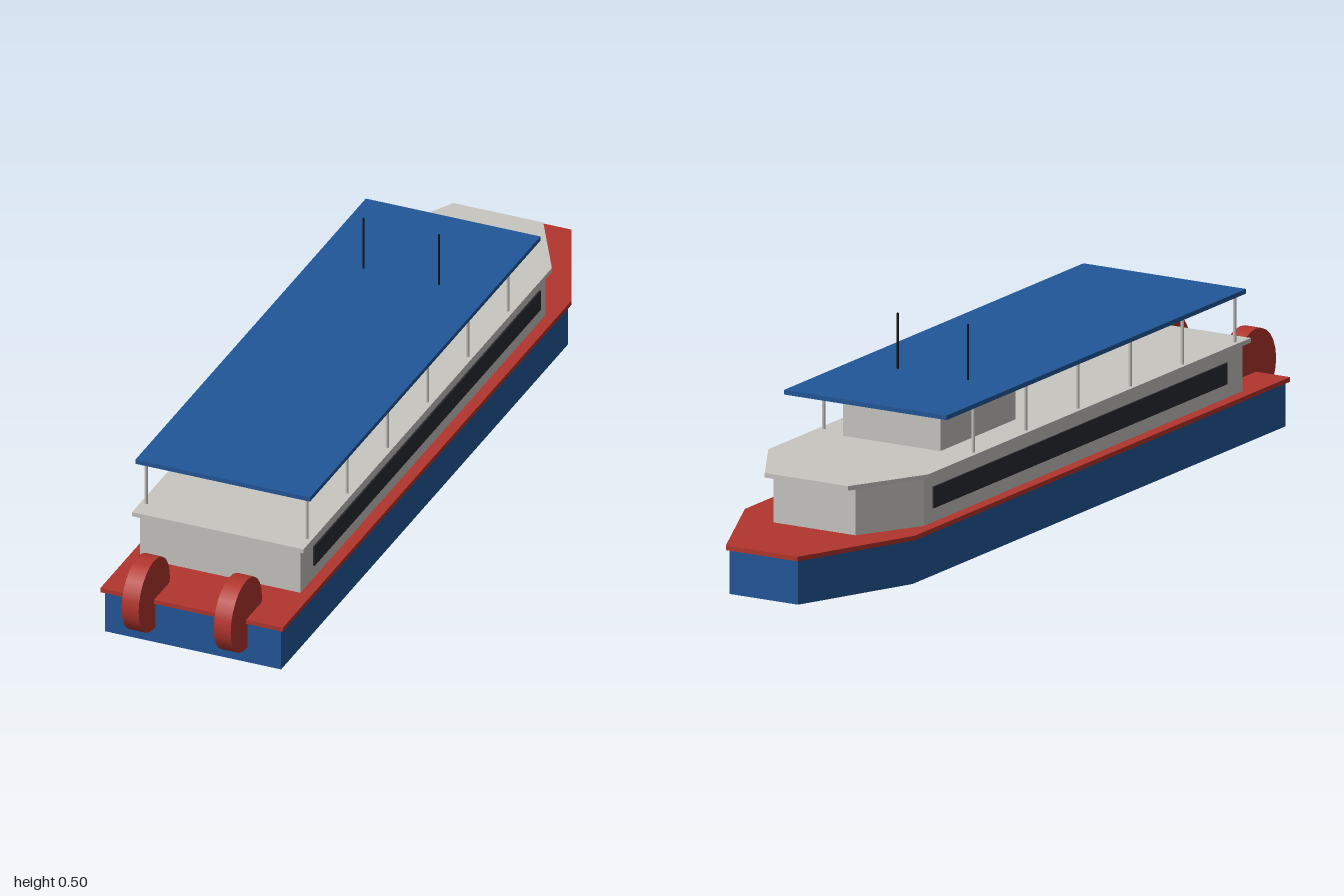
import * as THREE from 'three';

export function createModel() {
  const mat = (name, color) => {
    const m = new THREE.MeshStandardMaterial({ color });
    m.name = name;
    return m;
  };
  const blue = mat('blue', 0x22579a);
  const red = mat('red', 0xb3362d);
  const grey = mat('warm grey', 0xc8c6c1);
  const glass = mat('dark glass', 0x2a2b32);
  const black = mat('black', 0x15161a);

  // The boat is built along x (bow at +x), then turned to its heading.
  const boat = new THREE.Group();
  boat.name = 'boat';
  boat.rotation.y = THREE.MathUtils.degToRad(21);
  boat.position.set(-0.013, 0, -0.034);

  const add = (name, geometry, material, x = 0, y = 0, z = 0) => {
    const mesh = new THREE.Mesh(geometry, material);
    mesh.name = name;
    mesh.position.set(x, y, z);
    boat.add(mesh);
    return mesh;
  };

  // Prism with a square stern and a tapered bow.
  const prism = (name, material, stern, shoulder, tip, half, tipHalf, y0, y1) => {
    const shape = new THREE.Shape([
      [stern, -half], [shoulder, -half], [tip, -tipHalf],
      [tip, tipHalf], [shoulder, half], [stern, half],
    ].map(([x, y]) => new THREE.Vector2(x, y)));
    const g = new THREE.ExtrudeGeometry(shape, { depth: y1 - y0, bevelEnabled: false });
    g.rotateX(-Math.PI / 2);
    return add(name, g, material, 0, y0, 0);
  };

  // Box given by its x and y ranges and full width.
  const slab = (name, material, x0, x1, y0, y1, width, z = 0) =>
    add(name, new THREE.BoxGeometry(x1 - x0, y1 - y0, width), material,
      (x0 + x1) / 2, (y0 + y1) / 2, z);

  // Hull and main deck
  prism('hull', blue, -0.91, 0.741, 1.037, 0.222, 0.093, 0, 0.106);
  prism('deck', red, -0.918, 0.744, 1.046, 0.23, 0.097, 0.106, 0.117);

  // Cabin with overhanging roof
  prism('cabin', grey, -0.753, 0.658, 0.812, 0.202, 0.111, 0.117, 0.232);
  prism('cabinRoof', grey, -0.767, 0.662, 0.848, 0.216, 0.113, 0.232, 0.243);

  // Wheelhouse
  slab('wheelhouse', grey, 0.137, 0.47, 0.243, 0.337, 0.263);
  slab('wheelhouseRoof', blue, 0.116, 0.492, 0.337, 0.347, 0.289);

  // Sun canopy
  slab('canopy', blue, -0.739, 0.587, 0.356, 0.367, 0.44);

  const postGeo = new THREE.CylinderGeometry(0.004, 0.004, 0.113, 8);
  const mastGeo = new THREE.CylinderGeometry(0.0025, 0.0025, 0.153, 8);
  const wheelGeo = new THREE.CylinderGeometry(0.09, 0.09, 0.043, 24).rotateX(Math.PI / 2);

  for (const side of [-1, 1]) {
    // Window band
    slab('windowBand', glass, -0.68, 0.621, 0.151, 0.202, 0.006, side * 0.203);
    // Canopy posts
    for (let i = 0; i < 6; i++) {
      add('canopyPost', postGeo, grey, -0.717 + i * 0.2314, 0.2995, side * 0.2025);
    }
    // Antennas and paddle wheels
    add('antenna', mastGeo, black, 0.288, 0.4235, side * 0.095);
    add('paddleWheel', wheelGeo, red, -0.917, 0.13, side * 0.116);
  }

  const model = new THREE.Group();
  model.name = 'riverBoat';
  model.add(boat);
  return model;
}
